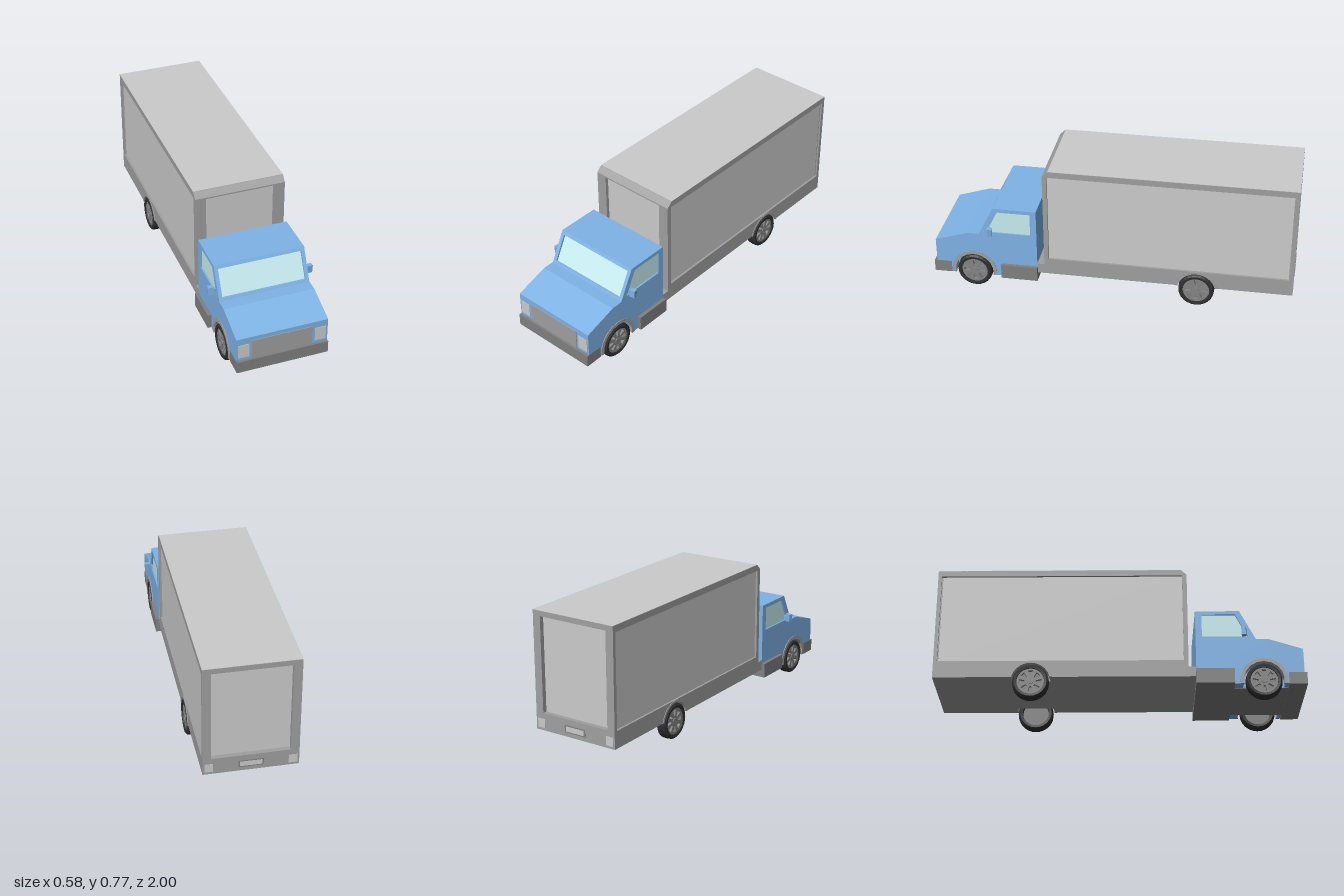
import * as THREE from 'three';

const mat = (color) => new THREE.MeshStandardMaterial({ color, flatShading: true });
const BLUE = mat(0x7fb3e6), GLASS = mat(0xc8eef2), PANEL = mat(0xcccccc), FRAME = mat(0xa0a0a0);
const DARK = mat(0x808080), TYRE = mat(0x303030), RIM = mat(0x858585);

const FRONT_AXLE = 0.77, REAR_AXLE = -0.475, AXLE_Y = 0.099;

function add(parent, name, geometry, material) {
  const mesh = new THREE.Mesh(geometry, material);
  mesh.name = name;
  parent.add(mesh);
  return mesh;
}

// Box given by its limits on each axis
function box(parent, name, material, [x0, x1], [y0, y1], [z0, z1]) {
  const g = new THREE.BoxGeometry(x1 - x0, y1 - y0, z1 - z0);
  g.translate((x0 + x1) / 2, (y0 + y1) / 2, (z0 + z1) / 2);
  return add(parent, name, g, material);
}

const poly = (pts) => new THREE.Shape(pts.map(([a, b]) => new THREE.Vector2(a, b)));
const rect = (a0, a1, b0, b1) => poly([[a0, b0], [a1, b0], [a1, b1], [a0, b1]]);
function withHole(shape, hole) {
  shape.holes.push(hole);
  return shape;
}

// Extrude a (z, y) side profile between two x positions
function sideExtrude(shape, x0, x1) {
  const g = new THREE.ExtrudeGeometry(shape, { depth: x1 - x0, bevelEnabled: false, curveSegments: 10 });
  g.translate(0, 0, -(x1 - x0) / 2);
  g.rotateY(-Math.PI / 2);
  g.translate((x0 + x1) / 2, 0, 0);
  return g;
}

// Extrude an (x, y) profile between two z positions
function frontExtrude(shape, z0, z1) {
  const g = new THREE.ExtrudeGeometry(shape, { depth: z1 - z0, bevelEnabled: false });
  g.translate(0, 0, z0);
  return g;
}

// Points over a wheel from its back (-z) to its front, starting at height y
function arch(z, r, y, n = 10) {
  const a = Math.asin((y - AXLE_Y) / r);
  return Array.from({ length: n + 1 }, (_, i) => {
    const t = Math.PI - a - ((Math.PI - 2 * a) * i) / n;
    return [z + r * Math.cos(t), AXLE_Y + r * Math.sin(t)];
  });
}

// Run once per side, s = 1 for left and -1 for right
function bothSides(fn) {
  for (const s of [1, -1]) fn(s, s > 0 ? 'left' : 'right', (a, b) => (s > 0 ? [a, b] : [-b, -a]));
}

function makeWheel() {
  const wheel = new THREE.Group();
  // Tyre with chamfered shoulders, axis along x
  const profile = [[0.074, -0.028], [0.088, -0.03], [0.097, -0.022], [0.099, 0],
    [0.097, 0.022], [0.088, 0.03], [0.074, 0.028], [0.072, 0], [0.074, -0.028]];
  const tyre = new THREE.LatheGeometry(profile.map(([r, h]) => new THREE.Vector2(r, h)), 24);
  tyre.rotateZ(-Math.PI / 2);
  add(wheel, 'tyre', tyre, TYRE);
  // Rim disc with slots between its spokes
  const disc = new THREE.Shape().absarc(0, 0, 0.076, 0, Math.PI * 2);
  const count = 8;
  for (let i = 0; i < count; i++) {
    const a = (i / count) * Math.PI * 2;
    const at = (r, d) => [r * Math.cos(a + d), r * Math.sin(a + d)];
    disc.holes.push(poly([at(0.03, -0.16), at(0.062, -0.2), at(0.062, 0.2), at(0.03, 0.16)]));
  }
  add(wheel, 'rim', sideExtrude(disc, 0.006, 0.022), RIM);
  const back = new THREE.CylinderGeometry(0.073, 0.073, 0.006, 24);
  back.rotateZ(Math.PI / 2);
  add(wheel, 'rimBack', back, DARK);
  const hub = new THREE.CylinderGeometry(0.016, 0.02, 0.024, 12);
  hub.rotateZ(-Math.PI / 2);
  hub.translate(0.014, 0, 0);
  add(wheel, 'hub', hub, RIM);
  return wheel;
}

function makeCargoBox() {
  const g = new THREE.Group();
  g.name = 'cargoBox';
  // Recessed panels
  box(g, 'panels', PANEL, [-0.238, 0.238], [0.205, 0.75], [-0.975, 0.352]);
  // Outer frames around the recesses
  const outline = [[-1, 0.207], [0.37, 0.207], [0.37, 0.735], [0.34, 0.764], [-1, 0.764]];
  bothSides((s, side, xr) => {
    const shape = withHole(poly(outline), rect(-0.98, 0.345, 0.217, 0.73));
    add(g, side + 'SideFrame', sideExtrude(shape, ...xr(0.238, 0.25)), FRAME);
  });
  add(g, 'frontFrame', frontExtrude(withHole(rect(-0.24, 0.24, 0.205, 0.735), rect(-0.19, 0.19, 0.217, 0.727)), 0.35, 0.37), FRAME);
  add(g, 'rearFrame', frontExtrude(withHole(rect(-0.24, 0.24, 0.205, 0.764), rect(-0.205, 0.205, 0.217, 0.735)), -1, -0.974), FRAME);
  const top = poly([[-0.98, 0.735], [0.37, 0.735], [0.34, 0.764], [-0.98, 0.764]]);
  add(g, 'topFrame', sideExtrude(top, -0.239, 0.239), FRAME);
  box(g, 'roof', PANEL, [-0.25, 0.25], [0.763, 0.766], [-1, 0.338]);
  // Skirt with wheel wells
  box(g, 'floor', FRAME, [-0.19, 0.19], [0.122, 0.21], [-1, 0.37]);
  bothSides((s, side, xr) => {
    const skirt = poly([[-1, 0.122], ...arch(REAR_AXLE, 0.107, 0.122), [0.37, 0.122], [0.37, 0.21], [-1, 0.21]]);
    add(g, side + 'Skirt', sideExtrude(skirt, ...xr(0.19, 0.25)), FRAME);
    const flare = poly([...arch(REAR_AXLE, 0.117, 0.122), ...arch(REAR_AXLE, 0.105, 0.122).reverse()]);
    add(g, side + 'RearFlare', sideExtrude(flare, ...xr(0.24, 0.253)), FRAME);
    box(g, side + 'TailLight', PANEL, xr(0.195, 0.24), [0.135, 0.185], [-1.0, -0.99]).position.z = -0.001;
  });
  box(g, 'rearPlate', DARK, [-0.065, 0.065], [0.145, 0.185], [-1.002, -0.99]);
  box(g, 'rearPlateFace', PANEL, [-0.057, 0.057], [0.151, 0.179], [-1.003, -0.99]);
  box(g, 'couplingFrame', FRAME, [-0.25, 0.25], [0.122, 0.18], [0.365, 0.415]);
  return g;
}

function makeCab() {
  const g = new THREE.Group();
  g.name = 'cab';
  // Lower body, with wheel wells on the outer slabs
  const upperEdge = [[0.985, 0.28], [0.8, 0.34], [0.41, 0.34]];
  add(g, 'body', sideExtrude(poly([[0.41, 0.08], [0.985, 0.08], ...upperEdge]), -0.19, 0.19), BLUE);
  // Glass block seen through the openings
  const glass = poly([[0.42, 0.335], [0.727, 0.335], [0.642, 0.5], [0.42, 0.5]]);
  add(g, 'windowGlass', sideExtrude(glass, -0.241, 0.241), GLASS);
  bothSides((s, side, xr) => {
    const lower = poly([[0.41, 0.08], ...arch(FRONT_AXLE, 0.112, 0.08), [0.985, 0.08], ...upperEdge]);
    add(g, side + 'Body', sideExtrude(lower, ...xr(0.19, 0.25)), BLUE);
    const pillars = withHole(poly([[0.41, 0.34], [0.735, 0.34], [0.65, 0.508], [0.41, 0.508]]),
      poly([[0.445, 0.355], [0.692, 0.355], [0.627, 0.487], [0.445, 0.487]]));
    add(g, side + 'WindowFrame', sideExtrude(pillars, ...xr(0.23, 0.25)), BLUE);
    const flare = poly([...arch(FRONT_AXLE, 0.128, 0.08), ...arch(FRONT_AXLE, 0.108, 0.08).reverse()]);
    add(g, side + 'FrontFlare', sideExtrude(flare, ...xr(0.235, 0.254)), FRAME);
    box(g, side + 'Step', DARK, xr(0.18, 0.27), [0.077, 0.16], [0.408, 0.613]);
    box(g, side + 'Headlight', PANEL, xr(0.18, 0.24), [0.16, 0.24], [0.97, 0.988]);
    // Mirror on a short arm
    box(g, side + 'MirrorArm', BLUE, xr(0.245, 0.265), [0.358, 0.382], [0.662, 0.678]);
    const mirror = box(g, side + 'Mirror', BLUE, [-0.016, 0.016], [-0.022, 0.022], [-0.012, 0.012]);
    mirror.position.set(s * 0.273, 0.374, 0.67);
    mirror.rotation.set(0, s * 0.2, s * -0.06);
  });
  // Roof, windscreen sill and back wall
  const roof = poly([[0.41, 0.49], [0.659, 0.49], [0.65, 0.508], [0.41, 0.508]]);
  add(g, 'cabRoof', sideExtrude(roof, -0.23, 0.23), BLUE);
  const sill = poly([[0.6, 0.335], [0.737, 0.335], [0.729, 0.352], [0.6, 0.352]]);
  add(g, 'windscreenSill', sideExtrude(sill, -0.23, 0.23), BLUE);
  box(g, 'backWall', BLUE, [-0.23, 0.23], [0.335, 0.508], [0.41, 0.425]);
  box(g, 'grille', FRAME, [-0.165, 0.165], [0.143, 0.257], [0.97, 0.989]);
  box(g, 'bumper', DARK, [-0.251, 0.251], [0.076, 0.144], [0.902, 1]);
  box(g, 'underside', DARK, [-0.19, 0.19], [0.077, 0.1], [0.408, 0.92]);
  return g;
}

export function createModel() {
  const truck = new THREE.Group();
  truck.name = 'boxTruck';
  truck.add(makeCargoBox(), makeCab());
  // Wheels, hub side outwards
  bothSides((s, side) => {
    for (const [end, z] of [['Front', FRONT_AXLE], ['Rear', REAR_AXLE]]) {
      const wheel = makeWheel();
      wheel.name = side + end + 'Wheel';
      wheel.position.set(s * 0.225, AXLE_Y, z);
      if (s < 0) wheel.rotation.y = Math.PI;
      truck.add(wheel);
    }
  });
  return truck;
}
